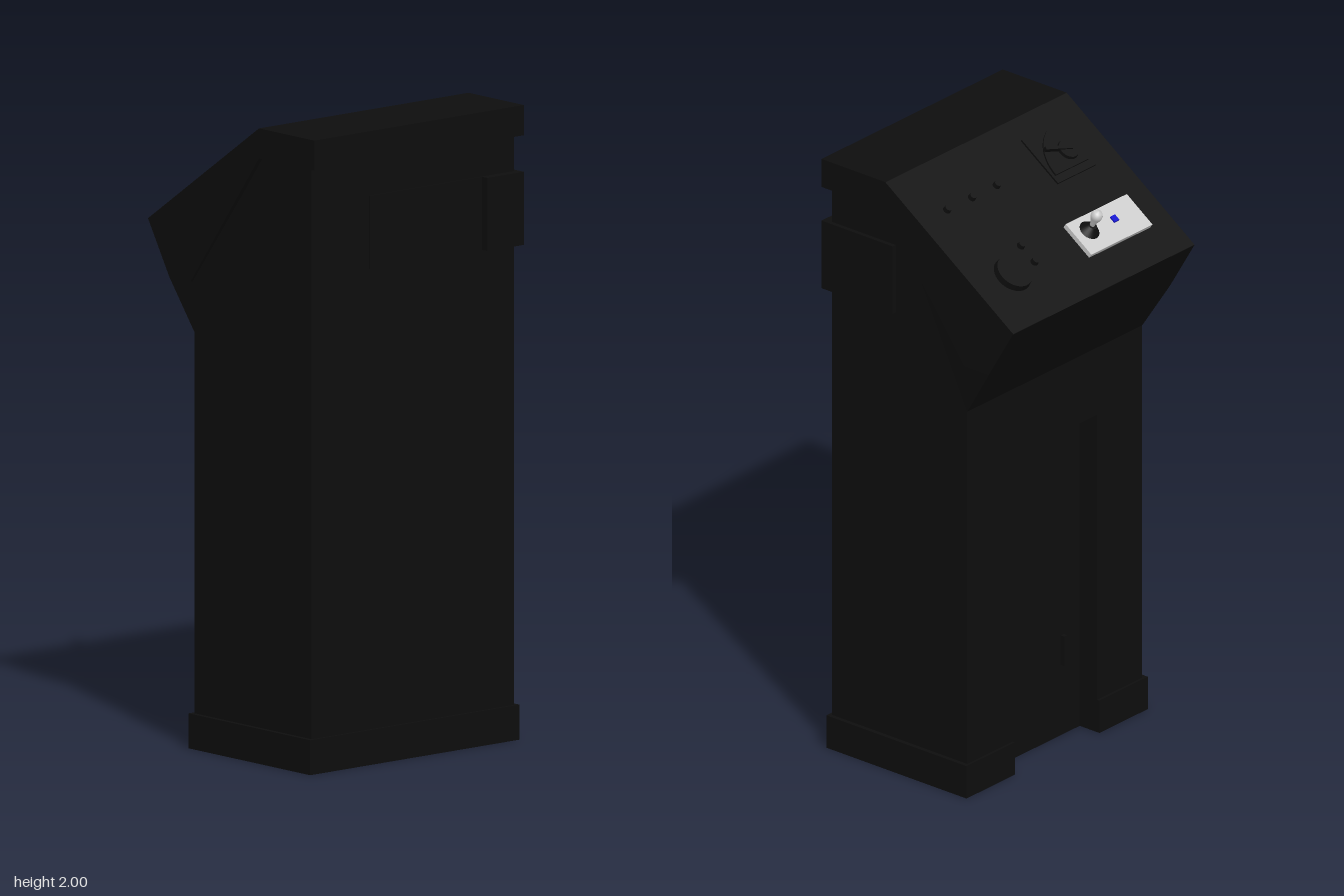
import * as THREE from 'three';

const mat = (color) => new THREE.MeshStandardMaterial({ color });
const black = mat(0x0d0d0d);
const grey = mat(0xcccccc);
const blue = mat(0x1010cc);

function add(parent, name, geometry, material = black) {
  const mesh = new THREE.Mesh(geometry, material);
  mesh.name = name;
  parent.add(mesh);
  return mesh;
}

// Side profile of [z, y] points, extruded from x0 to x1
function prism(points, x0, x1) {
  const shape = new THREE.Shape(points.map(([z, y]) => new THREE.Vector2(z, y)));
  const g = new THREE.ExtrudeGeometry(shape, { depth: x1 - x0, bevelEnabled: false });
  return g.rotateY(-Math.PI / 2).translate(x1, 0, 0);
}

function box(x0, x1, y0, y1, z0, z1) {
  return new THREE.BoxGeometry(x1 - x0, y1 - y0, z1 - z0)
    .translate((x0 + x1) / 2, (y0 + y1) / 2, (z0 + z1) / 2);
}

// The column flares out to the width of the head at the kink of the overhang
function flare(g) {
  const p = g.attributes.position;
  for (let i = 0; i < p.count; i++) {
    if (p.getZ(i) < -0.27 && Math.abs(p.getX(i)) > 0.4) p.setX(i, Math.sign(p.getX(i)) * 0.43);
  }
  g.computeVertexNormals();
  return g;
}

export function createModel() {
  const model = new THREE.Group();
  model.name = 'controlConsole';

  // Column: two solid sides and a middle with the door recess
  const upper = [[0.36, 0], [0.36, 1.95], [0.12, 1.95], [-0.25, 1.7], [-0.29, 1.47], [-0.19, 1.31]];
  const solid = [...upper, [-0.19, 0]];
  const recessed = [...upper, [-0.19, 1.08], [-0.12, 1.08], [-0.12, 0]];
  add(model, 'columnLeft', flare(prism(solid, 0.2, 0.415)));
  add(model, 'columnRight', flare(prism(solid, -0.415, -0.2)));
  add(model, 'columnMiddle', prism(recessed, -0.2, 0.2));

  // Plinth, open at the door
  add(model, 'plinthLeft', box(0.2, 0.43, 0, 0.11, -0.2, 0.37));
  add(model, 'plinthRight', box(-0.43, -0.2, 0, 0.11, -0.2, 0.37));
  add(model, 'plinthMiddle', box(-0.2, 0.2, 0, 0.11, -0.12, 0.37));
  add(model, 'doorHandle', box(-0.125, -0.11, 0.24, 0.34, -0.135, -0.12));

  // Sloped head and the cap along its upper edge
  add(model, 'head', prism(
    [[0.13, 2], [0.13, 1.905], [-0.19, 1.47], [-0.29, 1.47], [-0.39, 1.64]], -0.43, 0.43));
  add(model, 'cap', box(-0.43, 0.43, 1.905, 2, 0.13, 0.39));

  // Box around one front corner, and the thin plate beside it
  add(model, 'cornerBox', box(0.28, 0.43, 1.56, 1.79, 0.1, 0.39));
  add(model, 'frontPlate', box(-0.18, 0.28, 1.56, 1.79, 0.35, 0.365));

  // Control panel: local y is the normal of the slope
  const panel = new THREE.Group();
  panel.name = 'controlPanel';
  const tilt = Math.atan2(0.36, 0.52);
  panel.position.set(0, 2, 0.13);
  panel.rotation.x = -tilt;
  model.add(panel);
  const put = (name, geometry, x, z, h, material) => {
    const mesh = add(panel, name, geometry, material);
    mesh.position.set(x, h, (z - 0.13 + h * Math.sin(tilt)) / Math.cos(tilt));
    return mesh;
  };

  // Light plate with indicator and joystick
  put('joystickPlate', new THREE.BoxGeometry(0.29, 0.016, 0.127), -0.185, -0.248, 0.008, grey);
  put('indicator', new THREE.BoxGeometry(0.022, 0.006, 0.022), -0.217, -0.247, 0.018, blue);
  put('joystickBoot', new THREE.CylinderGeometry(0.014, 0.034, 0.024, 24), -0.103, -0.25, 0.028);
  const stick = [[0, 0], [0.008, 0], [0.009, 0.02], [0.018, 0.042], [0.019, 0.054], [0.013, 0.066], [0, 0.07]];
  const lever = put('joystickLever', new THREE.LatheGeometry(
    stick.map(([r, y]) => new THREE.Vector2(r, y)), 24), -0.103, -0.25, 0.03, grey);
  lever.rotation.x = 0.15;

  // Large round knob and small push buttons
  put('roundKnob', new THREE.CylinderGeometry(0.06, 0.063, 0.02, 40), 0.265, -0.25, 0.01);
  const buttons = [[0.157, -0.245], [0.157, -0.19], [0.068, -0.015], [0.185, -0.015], [0.303, -0.015]];
  for (const [x, z] of buttons) {
    put('button', new THREE.CylinderGeometry(0.011, 0.013, 0.014, 20), x, z, 0.007);
  }

  // Selector: quarter-round dial on a thin base, with knob and pointer
  put('selectorBase', new THREE.BoxGeometry(0.18, 0.006, 0.18), -0.23, -0.008, 0.003);
  const quarter = new THREE.Shape();
  quarter.moveTo(0, 0);
  quarter.lineTo(0.155, 0);
  quarter.absarc(0, 0, 0.155, 0, Math.PI / 2, false);
  quarter.closePath();
  put('selectorDial', new THREE.ExtrudeGeometry(quarter,
    { depth: 0.012, bevelEnabled: false, curveSegments: 20 }).rotateX(Math.PI / 2),
  -0.306, -0.066, 0.012);
  put('selectorKnob', new THREE.CylinderGeometry(0.034, 0.036, 0.012, 28), -0.26, -0.022, 0.016);
  const pointer = put('selectorPointer', new THREE.BoxGeometry(0.1, 0.014, 0.012), -0.225, -0.012, 0.02);
  pointer.rotation.y = -0.35;

  return model;
}
